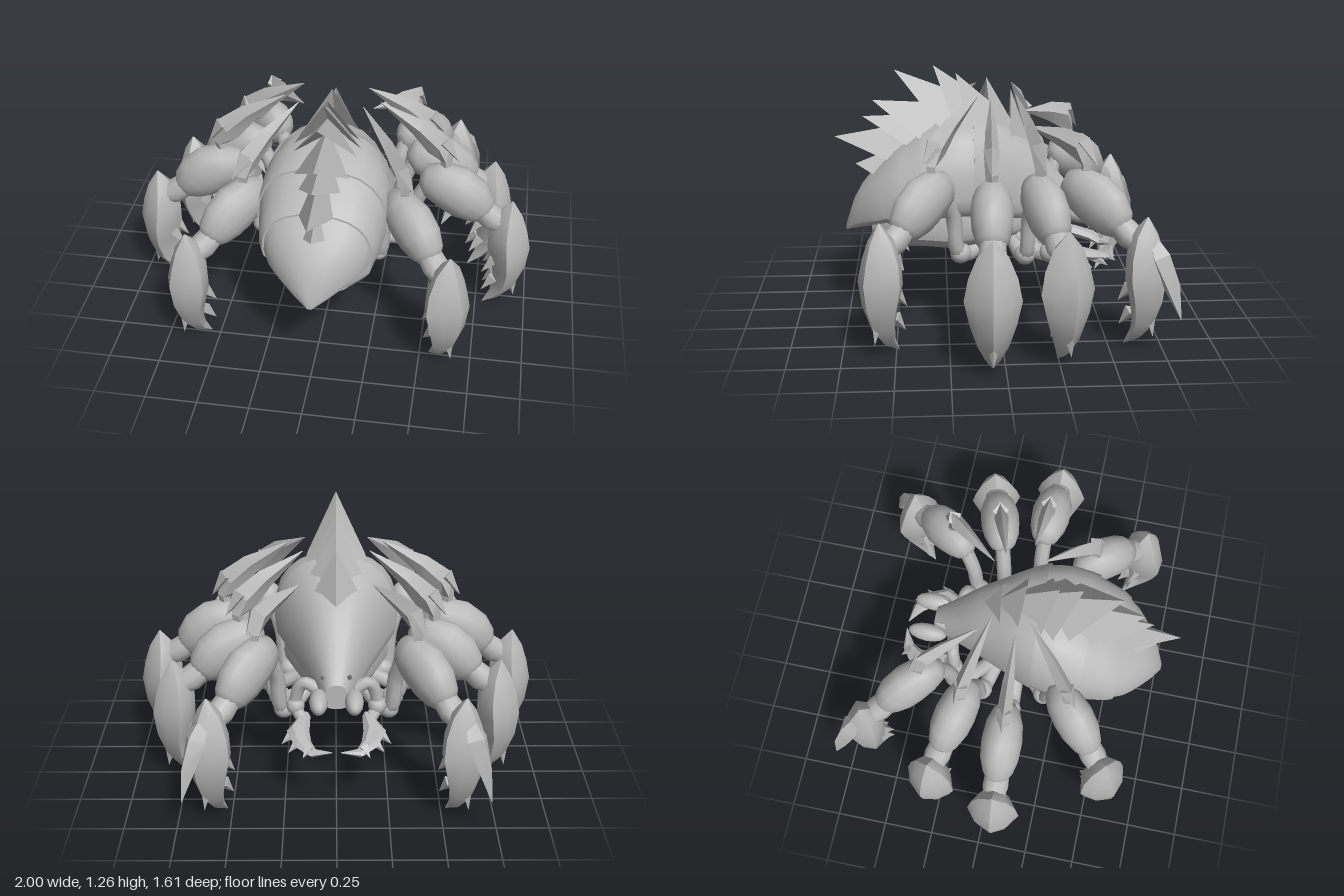
import * as THREE from 'three';
import { toCreasedNormals } from 'three/addons/utils/BufferGeometryUtils.js';

const V = (x, y, z) => new THREE.Vector3(x, y, z);
const chitin = new THREE.MeshStandardMaterial({ color: 0xb8b8b8, side: THREE.DoubleSide });
chitin.name = 'grey chitin';

function add(parent, name, geometry) {
  const mesh = new THREE.Mesh(geometry, chitin);
  mesh.name = name;
  parent.add(mesh);
  return mesh;
}

// Skin over closed rings of equal point count, with closed ends
function loft(rings, crease) {
  const n = rings[0].length, pos = [], idx = [];
  rings.forEach(r => r.forEach(p => pos.push(p.x, p.y, p.z)));
  for (let i = 0; i < rings.length - 1; i++) {
    for (let j = 0; j < n; j++) {
      const a = i * n + j, b = i * n + (j + 1) % n;
      idx.push(a, b, b + n, a, b + n, a + n);
    }
  }
  [0, rings.length - 1].forEach(i => {
    const c = V(0, 0, 0);
    rings[i].forEach(p => c.addScaledVector(p, 1 / n));
    const k = pos.length / 3;
    pos.push(c.x, c.y, c.z);
    for (let j = 0; j < n; j++) {
      const a = i * n + j, b = i * n + (j + 1) % n;
      if (i) idx.push(a, b, k); else idx.push(b, a, k);
    }
  });
  const g = new THREE.BufferGeometry();
  g.setAttribute('position', new THREE.Float32BufferAttribute(pos, 3));
  g.setIndex(idx);
  return toCreasedNormals(g, crease);
}

const power = (v, p) => Math.sign(v) * Math.abs(v) ** p;

// Tapered limb along a planar path; each entry is [point, half depth, half width along L].
// A pinch above 1 sharpens the section into ridges.
function limb(entries, L, sides, crease, pinch = 1) {
  return loft(entries.map(([p, depth, width], i) => {
    const before = entries[Math.max(i - 1, 0)][0];
    const after = entries[Math.min(i + 1, entries.length - 1)][0];
    const N = L.clone().cross(after.clone().sub(before)).normalize();
    return Array.from({ length: sides }, (_, j) => {
      const a = j / sides * Math.PI * 2;
      return p.clone().addScaledVector(N, depth * power(Math.cos(a), pinch))
        .addScaledVector(L, width * power(Math.sin(a), pinch));
    });
  }), crease);
}

function spike(parent, name, from, to, radius) {
  const d = to.clone().sub(from);
  const m = add(parent, name, toCreasedNormals(new THREE.ConeGeometry(radius, d.length(), 4), 0.3));
  m.position.copy(from).addScaledVector(d, 0.5);
  m.quaternion.setFromUnitVectors(V(0, 1, 0), d.normalize());
}

function ball(parent, name, p, rx, ry, rz) {
  const m = add(parent, name, new THREE.SphereGeometry(1, 14, 10));
  m.position.copy(p);
  m.scale.set(rx, ry, rz);
}

function tube(parent, name, points, r) {
  add(parent, name, new THREE.TubeGeometry(new THREE.CatmullRomCurve3(points), 20, r, 8));
}

// Carapace profile rows: z, half width, top, bottom
const PROFILE = [
  [-0.42, 0.06, 0.6, 0.47], [-0.35, 0.085, 0.68, 0.46], [-0.2, 0.155, 0.86, 0.48], [0, 0.25, 1.0, 0.5],
  [0.1, 0.3, 1.03, 0.52], [0.22, 0.32, 1.02, 0.52], [0.35, 0.315, 0.97, 0.52], [0.5, 0.28, 0.86, 0.51],
  [0.6, 0.225, 0.76, 0.49], [0.7, 0.11, 0.64, 0.46], [0.755, 0.015, 0.47, 0.44]];

// Body section: squarish dome above, shallow curve below
function bodyRing([z, w, top, bottom], k = 1) {
  const side = bottom + (top - bottom) * 0.3;
  return Array.from({ length: 24 }, (_, j) => {
    const a = j / 24 * Math.PI * 2, s = Math.sin(a);
    const y = s > 0 ? (top - side) * power(s, 0.85) : (side - bottom) * power(s, 0.8);
    return V(w * k * power(Math.cos(a), 0.8), side + y * k, z);
  });
}

function profileAt(z) {
  let i = 0;
  while (i < PROFILE.length - 2 && PROFILE[i + 1][0] < z) i++;
  const a = PROFILE[i], b = PROFILE[i + 1], t = (z - a[0]) / (b[0] - a[0]);
  return a.map((v, k) => v + (b[k] - v) * t);
}

function buildBody(root) {
  // Overlapping carapace segments, each flaring a little at its front rim
  [[-0.42, 0.12], [0.05, 0.37], [0.3, 0.54], [0.46, 0.755]].forEach(([z0, z1], n) => {
    const rings = Array.from({ length: 8 }, (_, i) => {
      const t = i / 7;
      return bodyRing(profileAt(z0 + (z1 - z0) * t), n < 3 ? 0.98 + 0.04 * t : 0.98);
    });
    add(root, 'carapaceSegment', loft(rings, 0.5));
  });
  add(root, 'belly', loft([
    [-0.36, 0.06, 0.6, 0.46], [-0.2, 0.13, 0.7, 0.43], [0, 0.21, 0.75, 0.39], [0.22, 0.285, 0.78, 0.37],
    [0.48, 0.25, 0.76, 0.39], [0.62, 0.16, 0.65, 0.44]].map(r => bodyRing(r)), 0.4));

  // Folded back plates: tip z, y; root z, y; side half width, z, y
  [[-0.07, 1.15, -0.16, 0.89, 0.16, -0.06, 0.82], [0.05, 1.21, -0.08, 0.98, 0.2, 0.02, 0.86],
   [0.2, 1.23, -0.01, 1.05, 0.22, 0.12, 0.88], [0.31, 1.27, 0.06, 1.1, 0.2, 0.18, 0.92],
   [0.5, 1.25, 0.13, 1.11, 0.15, 0.28, 0.99], [0.61, 1.1, 0.2, 1.08, 0.13, 0.38, 0.93],
   [0.66, 1.02, 0.28, 1.03, 0.1, 0.44, 0.89], [0.8, 0.92, 0.34, 1.0, 0.085, 0.53, 0.81],
   [0.7, 0.78, 0.48, 0.87, 0.07, 0.58, 0.72]].forEach(([tz, ty, rz, ry, w, sz, sy]) => {
    const T = V(0, ty, tz), R = V(0, ry, rz), A = V(w, sy, sz), B = V(-w, sy, sz);
    const K = R.clone().lerp(T, 0.45).add(V(0, -0.07, 0));
    const g = new THREE.BufferGeometry().setFromPoints([R, T, A, R, B, T, T, K, A, T, B, K]);
    g.computeVertexNormals();
    add(root, 'backPlate', g);
  });
}

function buildHead(root) {
  const UP = V(0, 1, 0);
  for (const s of [-1, 1]) {
    const P = (x, y, z) => V(s * x, y, z);
    spike(root, 'headHorn', P(0.05, 0.58, -0.33), P(0.07, 0.65, -0.41), 0.03);
    ball(root, 'jawLobe', P(0.085, 0.525, -0.45), 0.045, 0.05, 0.1);
    tube(root, 'palpArm', [P(0.06, 0.5, -0.32), P(0.16, 0.55, -0.3), P(0.2, 0.42, -0.29), P(0.16, 0.36, -0.34)], 0.032);
    ball(root, 'palpJoint', P(0.2, 0.42, -0.29), 0.045, 0.045, 0.045);
    add(root, 'pincer', limb([
      [P(0.15, 0.38, -0.32), 0.025, 0.025], [P(0.185, 0.35, -0.42), 0.055, 0.03], [P(0.16, 0.33, -0.51), 0.045, 0.025],
      [P(0.11, 0.31, -0.56), 0.03, 0.018], [P(0.02, 0.33, -0.59), 0.002, 0.002]], UP, 6, 0.5));
    [[0.21, -0.4, 0.265, -0.46], [0.18, -0.48, 0.23, -0.54], [0.13, -0.54, 0.16, -0.59]].forEach(([x, z, x2, z2]) =>
      spike(root, 'pincerBarb', P(x, 0.33, z), P(x2, 0.3, z2), 0.028));
  }
}

// One leg, built outward along local +x
function buildLeg(name, hind) {
  const leg = new THREE.Group(), Z = V(0, 0, 1);
  leg.name = name;
  const path = rows => rows.map(([r, y, d, w]) => [V(r, y, 0), d, w]);
  tube(leg, 'hip', [V(0.06, 0.43, 0), V(0.2, 0.37, 0), V(0.27, 0.4, 0), V(0.3, 0.58, 0), V(0.37, 0.73, 0)], 0.038);
  ball(leg, 'hipJoint', V(0.25, 0.385, 0), 0.055, 0.05, 0.05);
  add(leg, 'thigh', limb(path([
    [0.325, 0.735, 0.03, 0.03], [0.355, 0.735, 0.085, 0.065], [0.42, 0.73, 0.112, 0.09], [0.5, 0.7, 0.128, 0.1],
    [0.57, 0.65, 0.122, 0.095], [0.625, 0.6, 0.092, 0.075], [0.655, 0.565, 0.05, 0.045]]), Z, 14, 1.2));
  add(leg, 'knee', limb(path([[0.63, 0.6, 0.06, 0.06], [0.69, 0.555, 0.065, 0.065], [0.76, 0.52, 0.05, 0.05]]), Z, 10, 0.8));
  add(leg, 'claw', limb(path([
    [0.785, 0.66, 0.004, 0.004], [0.775, 0.58, 0.065, 0.07], [0.775, 0.48, 0.095, 0.11], [0.785, 0.38, 0.105, 0.13],
    [0.79, 0.27, 0.085, 0.105], [0.775, 0.16, 0.058, 0.07], [0.735, 0.08, 0.032, 0.035], [0.675, 0.015, 0.002, 0.002]]),
    Z, 8, 0.7, 1.35));
  // Hooked barbs down the inside of the claw, and one on its outside
  [[0.72, 0.32, 0.03], [0.725, 0.2, 0.025]].forEach(([r, y, z]) => [-1, 1].forEach(s =>
    spike(leg, 'clawBarb', V(r, y, s * z), V(r - 0.06, y - 0.08, s * z * 1.5), 0.035)));
  spike(leg, 'outerBarb', V(0.81, 0.2, 0), V(0.83, 0.08, 0), 0.035);
  // Swept blade rising from the thigh, lower on the hind pair
  const tipY = hind ? 1.0 : 1.15, bendY = hind ? 0.97 : 1.03;
  add(leg, 'blade', limb(path([
    [0.44, 0.78, 0.025, 0.025], [0.45, 0.86, 0.03, 0.03], [0.41, 0.94, 0.07, 0.035],
    [0.31, bendY, 0.05, 0.028], [0.12, tipY, 0.002, 0.002]]), Z, 4, 0.3));
  spike(leg, 'bladeBarb', V(0.43, 0.97, 0), V(0.51, 0.86, 0), 0.04);
  // Trailing fin of the hind pair
  if (hind) add(leg, 'clawFin', limb(path([
    [0.79, 0.6, 0.01, 0.02], [0.86, 0.48, 0.05, 0.06], [0.92, 0.35, 0.045, 0.04], [0.975, 0.2, 0.002, 0.002]]), Z, 4, 0.3));
  return leg;
}

export function createModel() {
  const root = new THREE.Group();
  root.name = 'armouredSpider';
  buildBody(root);
  buildHead(root);
  // Leg pairs: base x, base z, heading in degrees
  [['frontLeg', 0.07, 0.01, 45], ['middleLeg', 0.11, 0.035, 2], ['rearLeg', 0.045, -0.05, -17], ['hindLeg', 0.1, -0.055, -51]]
    .forEach(([name, x, z, deg], i) => {
      for (const s of [1, -1]) {
        const leg = buildLeg((s > 0 ? 'left ' : 'right ') + name, i === 3);
        leg.position.set(s * x, 0, z);
        const a = deg * Math.PI / 180;
        leg.rotation.y = -(s > 0 ? a : Math.PI - a);
        root.add(leg);
      }
    });
  return root;
}
